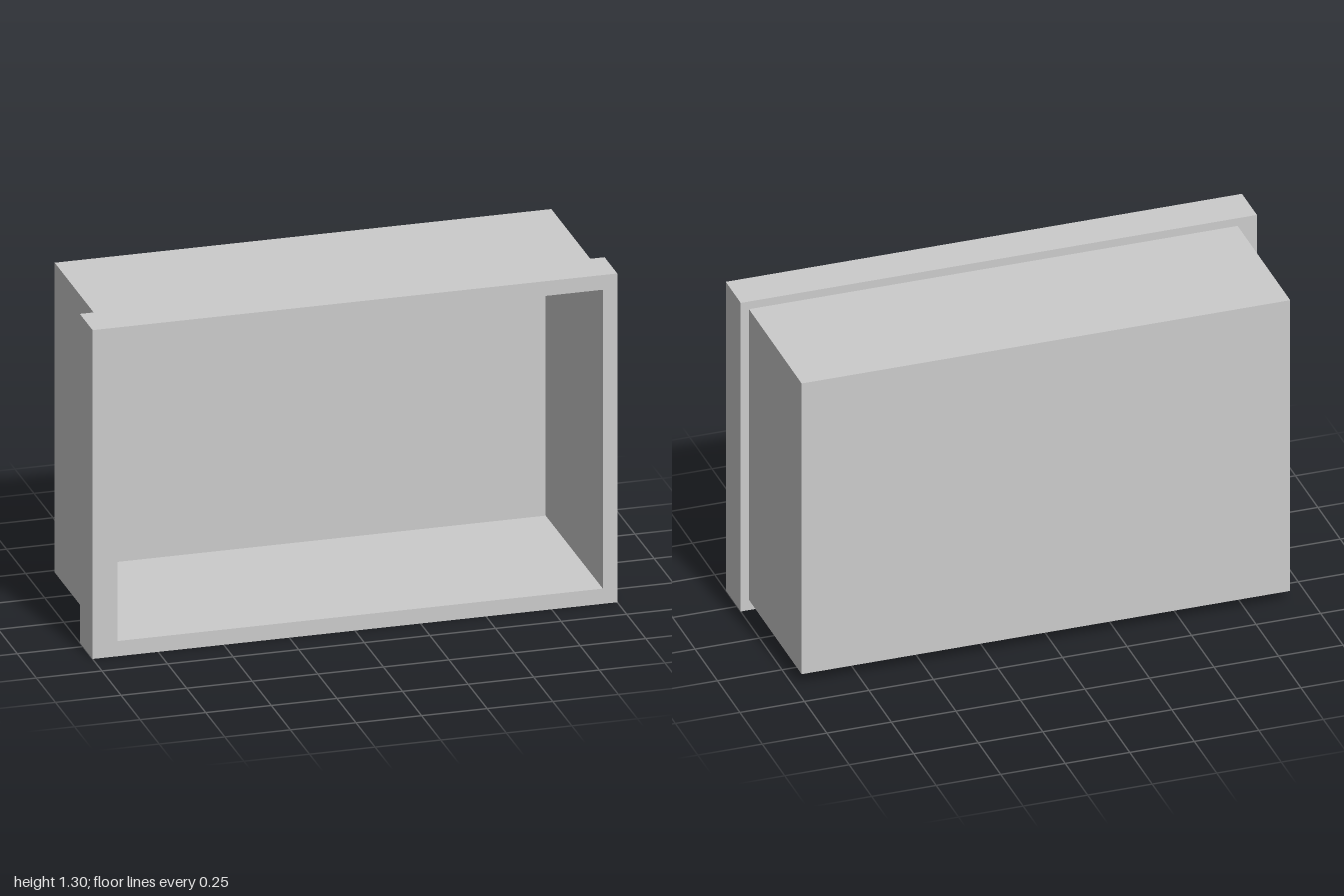
import * as THREE from 'three';

const material = new THREE.MeshStandardMaterial({ color: 0xcccccc });

// The clear opening shared by the frame and the case: [left, bottom, right, top]
const OPENING = [-0.905, 0.06, 0.945, 1.238];

function rectangle(target, [x0, y0, x1, y1]) {
  target.moveTo(x0, y0);
  target.lineTo(x1, y0);
  target.lineTo(x1, y1);
  target.lineTo(x0, y1);
  target.closePath();
  return target;
}

// Rectangular slab from z0 to z1, optionally cut through by the opening
function slab(name, outline, z0, z1, open) {
  const shape = rectangle(new THREE.Shape(), outline);
  if (open) shape.holes.push(rectangle(new THREE.Path(), OPENING));
  const geometry = new THREE.ExtrudeGeometry(shape, { depth: z1 - z0, bevelEnabled: false });
  geometry.translate(0, 0, z0);
  const mesh = new THREE.Mesh(geometry, material);
  mesh.name = name;
  return mesh;
}

export function createModel() {
  const model = new THREE.Group();
  model.name = 'openBox';

  const caseOutline = [-0.925, 0.043, 0.968, 1.264];
  const back = -0.377;
  const backInside = back + 0.005;
  const frameBack = 0.21;

  // Wide rim around the mouth
  model.add(slab('frontFrame', [-1, 0, 1, 1.296], frameBack, 0.377, true));
  // Thin-walled case behind the rim
  model.add(slab('caseWalls', caseOutline, backInside, frameBack, true));
  // Thin panel closing the back
  model.add(slab('backPanel', caseOutline, back, backInside, false));

  return model;
}
